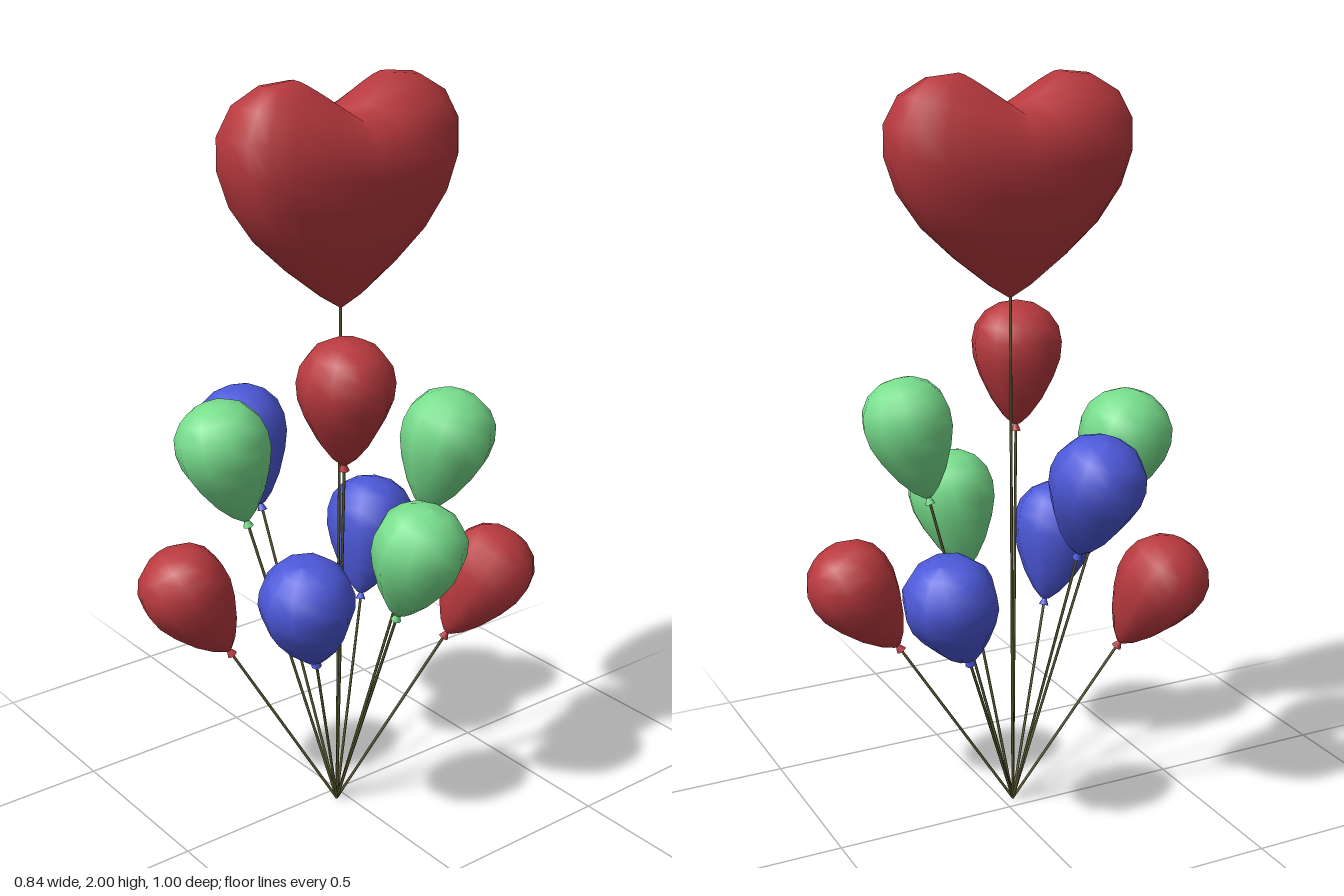
import * as THREE from 'three';

const mat = (color, side = THREE.FrontSide) => new THREE.MeshStandardMaterial({ color, side });
const UP = new THREE.Vector3(0, 1, 0);
const ORIGIN = new THREE.Vector3(0.04, 0.005, 0.03); // where all strings meet

// Teardrop balloon, y = 0 at its widest ring
const BALLOON = [[0, -0.212], [0.012, -0.208], [0.037, -0.185], [0.07, -0.14], [0.101, -0.08], [0.119, -0.03],
  [0.123, 0.015], [0.114, 0.058], [0.087, 0.095], [0.048, 0.118], [0, 0.126]];
const TIP = 0.21;

// Heart rings: half thickness, half width, height at the middle, height at the lobes
const HEART = [[0, 0, 1.43, 1.43], [0.035, 0.055, 1.465, 1.465], [0.082, 0.15, 1.54, 1.54],
  [0.122, 0.235, 1.62, 1.62], [0.15, 0.297, 1.7, 1.71], [0.163, 0.327, 1.77, 1.8], [0.156, 0.327, 1.83, 1.88],
  [0.13, 0.29, 1.875, 1.95], [0.09, 0.22, 1.9, 1.992], [0.05, 0.14, 1.91, 2.0],
  [0.018, 0.055, 1.91, 1.95], [0, 0, 1.91, 1.91]];

function heartGeometry(sides = 24) {
  const pos = [], idx = [];
  HEART.forEach(([a, w, yMid, yEnd], i) => {
    for (let j = 0; j < sides; j++) {
      const t = (j / sides) * Math.PI * 2, c = Math.cos(t), s = Math.sin(t);
      // flat-sided oval ring, lifted toward the two lobes
      pos.push(a * Math.sign(c) * Math.abs(c) ** 0.65, yMid + (yEnd - yMid) * Math.abs(s), w * s);
      if (i === HEART.length - 1) continue;
      const p = i * sides + j, q = i * sides + (j + 1) % sides;
      if (i < HEART.length - 2) idx.push(p, p + sides, q + sides);
      if (i > 0) idx.push(p, q + sides, q);
      if (i === HEART.length - 2) idx.push(p, p + sides, q);
    }
  });
  // the last ring band uses one triangle per side
  const last = (HEART.length - 2) * sides;
  const clean = [];
  for (let k = 0; k < idx.length; k += 3) {
    const tri = idx.slice(k, k + 3);
    if (tri[0] >= last && tri[1] >= last + sides && tri[2] >= last && tri[2] < last + sides) continue;
    clean.push(...tri);
  }
  const top = HEART.length - 1;
  for (let j = 0; j < sides; j++) clean.push(last + j, top * sides + j, last + (j + 1) % sides);
  const g = new THREE.BufferGeometry();
  g.setAttribute('position', new THREE.Float32BufferAttribute(pos, 3));
  g.setIndex(clean);
  g.computeVertexNormals();
  return g;
}

function string(end, material) {
  const dir = end.clone().sub(ORIGIN);
  const m = new THREE.Mesh(new THREE.CylinderGeometry(0.004, 0.004, dir.length(), 5), material);
  m.position.copy(ORIGIN).addScaledVector(dir, 0.5);
  m.quaternion.setFromUnitVectors(UP, dir.normalize());
  m.name = 'string';
  return m;
}

export function createModel() {
  const model = new THREE.Group();
  model.name = 'balloonBunch';
  const red = mat(0xb8393e), green = mat(0x77dd8c), blue = mat(0x4c58d8), cord = mat(0x5a5a32);

  // Round balloons: material and centre of the widest ring
  const balloons = [
    [red, 0.18, 1.27, 0.11], [red, -0.162, 0.67, 0.375], [red, 0.2, 0.655, -0.37],
    [green, -0.1, 1.07, 0.287], [green, 0.21, 1.085, -0.198], [green, 0.3, 0.84, -0.032],
    [blue, -0.3, 1.02, 0.093], [blue, -0.162, 0.715, -0.245], [blue, 0.2, 0.735, 0.247],
  ];
  const skin = new THREE.LatheGeometry(BALLOON.map(([r, y]) => new THREE.Vector2(r, y)), 10);
  const knotShape = new THREE.CylinderGeometry(0.005, 0.014, 0.02, 8);
  for (const [material, x, y, z] of balloons) {
    const centre = new THREE.Vector3(x, y, z);
    const dir = centre.clone().sub(ORIGIN).normalize();
    const balloon = new THREE.Group();
    balloon.name = 'balloon';
    const body = new THREE.Mesh(skin, material);
    body.name = 'balloonBody';
    const knot = new THREE.Mesh(knotShape, material);
    knot.name = 'knot';
    knot.position.y = -TIP - 0.008;
    balloon.add(body, knot);
    balloon.position.copy(centre);
    balloon.quaternion.setFromUnitVectors(UP, dir);
    model.add(balloon, string(centre.clone().addScaledVector(dir, -TIP), cord));
  }

  // Heart balloon on the longest string
  const heart = new THREE.Mesh(heartGeometry(), red);
  heart.name = 'heartBalloon';
  heart.position.set(0.057, 0, 0.03);
  model.add(heart, string(new THREE.Vector3(0.055, 1.44, 0.03), cord));
  return model;
}
